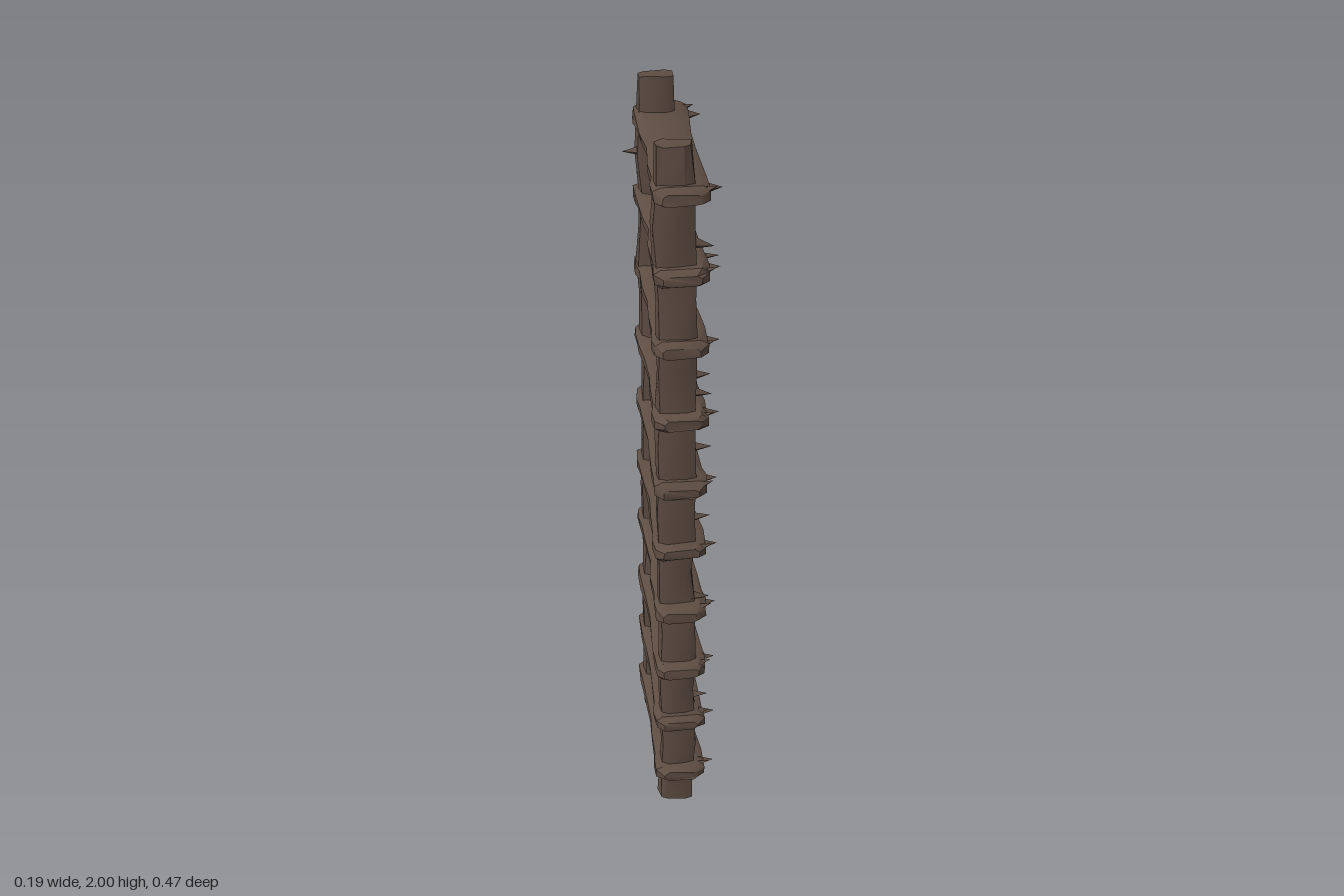
import * as THREE from 'three';
import { toCreasedNormals } from 'three/addons/utils/BufferGeometryUtils.js';

// Seeded noise in -1..1
function makeNoise(seed) {
  let s = seed;
  return () => {
    s = (s * 16807) % 2147483647;
    return (s / 2147483647) * 2 - 1;
  };
}

// Rough-hewn section: a rectangle with chamfered corners
const SECTION = [[1, -0.55], [1, 0.5], [0.75, 0.95], [-0.75, 1], [-1, 0.6], [-1, -0.6], [-0.7, -1], [0.7, -0.95]];

// Loft through stations { t, a, b, w, h }: centre (a, b), half sizes (w, h).
// place(a, b, t) returns the point; its axes must be right-handed.
function loft(stations, place, noise, rough) {
  const n = SECTION.length, pos = [], idx = [];
  for (const s of stations) {
    for (const [u, v] of SECTION) {
      pos.push(...place(s.a + u * s.w + noise() * rough, s.b + v * s.h + noise() * rough, s.t + noise() * rough));
    }
  }
  for (let i = 0; i < stations.length - 1; i++) {
    for (let j = 0; j < n; j++) {
      const p = i * n + j, q = i * n + (j + 1) % n;
      idx.push(p, q, q + n, p, q + n, p + n);
    }
  }
  const last = (stations.length - 1) * n;
  for (let j = 1; j < n - 1; j++) idx.push(0, j + 1, j, last, last + j, last + j + 1);
  const g = new THREE.BufferGeometry();
  g.setAttribute('position', new THREE.Float32BufferAttribute(pos, 3));
  g.setIndex(idx);
  return toCreasedNormals(g, 0.6);
}

export function createModel() {
  const group = new THREE.Group();
  const wood = new THREE.MeshStandardMaterial({ color: 0x5e4d43 });
  wood.name = 'weathered brown wood';
  const noise = makeNoise(4721);

  const add = (geometry, name) => {
    const m = new THREE.Mesh(geometry, wood);
    m.name = name;
    group.add(m);
    return m;
  };

  // Pointed splinter standing out along x
  const splinter = (x, y, z, length, radius, dir = 1, lift = 0) => {
    const g = new THREE.ConeGeometry(radius, length, 4).toNonIndexed();
    g.computeVertexNormals();
    const m = add(g, 'splinter');
    m.rotation.z = -dir * (Math.PI / 2 - lift);
    m.position.set(x, y, z);
  };

  const rungY = [0.12, 0.305, 0.49, 0.685, 0.885, 1.08, 1.275, 1.48, 1.675, 1.885];

  // Two upright rails, slightly swollen and crooked
  for (const side of [1, -1]) {
    const stations = [];
    for (let i = 0; i <= 20; i++) {
      const end = i === 0 || i === 20;
      stations.push({
        t: 0.004 + i * 0.0996,
        a: side * 0.178 + (end ? 0 : noise() * 0.006),
        b: -0.008 - i * 0.0004 + noise() * 0.004,
        w: i === 20 ? 0.019 : 0.025 + noise() * 0.002,
        h: i === 20 ? 0.041 : 0.047 + noise() * 0.003,
      });
    }
    add(loft(stations, (a, b, t) => [b, Math.min(2, Math.max(0, t)), a], noise, 0.003),
      side > 0 ? 'frontRail' : 'backRail');
  }

  // Plank rungs wrapping the rails: [z, half depth, half thickness]
  const profile = [
    [-0.231, 0.045, 0.015], [-0.213, 0.064, 0.023], [-0.175, 0.066, 0.023], [-0.14, 0.063, 0.019],
    [-0.07, 0.06, 0.017], [0, 0.056, 0.016], [0.07, 0.06, 0.017],
    [0.14, 0.063, 0.019], [0.175, 0.066, 0.022], [0.213, 0.064, 0.023], [0.231, 0.045, 0.014],
  ];
  rungY.forEach((y, k) => {
    const lean = noise() * 0.004;
    const stations = profile.map(([z, w, h]) => ({
      t: z,
      a: -0.003 + noise() * 0.002,
      b: y + lean * z / 0.2 + noise() * 0.003 - (k === 6 && z === 0 ? 0.006 : 0),
      w,
      h: k === 6 && z === 0 ? 0.008 : h,
    }));
    add(loft(stations, (a, b, t) => [a, b, t], noise, 0.0025), 'rung');

    // Torn fibres where the rung crosses each rail
    for (const side of [1, -1]) {
      splinter(0.07, y + noise() * 0.006, side * (0.178 + noise() * 0.012), 0.042, 0.016);
      splinter(0.062, y + 0.012, side * (0.2 + noise() * 0.012), 0.03, 0.01, 1, 0.3);
    }
  });

  // Splinters along the rails
  for (const [y, z] of [[0.33, -0.18], [0.36, 0.17], [0.71, 0.18], [0.74, -0.18], [0.96, 0.17],
    [1.15, -0.18], [1.18, 0.18], [1.33, 0.17], [1.57, -0.18], [1.74, 0.18], [1.77, -0.17]]) {
    splinter(0.05, y, z, 0.05, 0.016, 1, noise() * 0.3);
  }
  splinter(-0.075, 1.805, -0.17, 0.05, 0.014, -1);

  // Splinters on the middle of the cracked rung and its neighbour
  splinter(0.07, 1.275, 0.008, 0.05, 0.018);
  splinter(0.07, 1.675, 0.12, 0.05, 0.012);
  return group;
}
